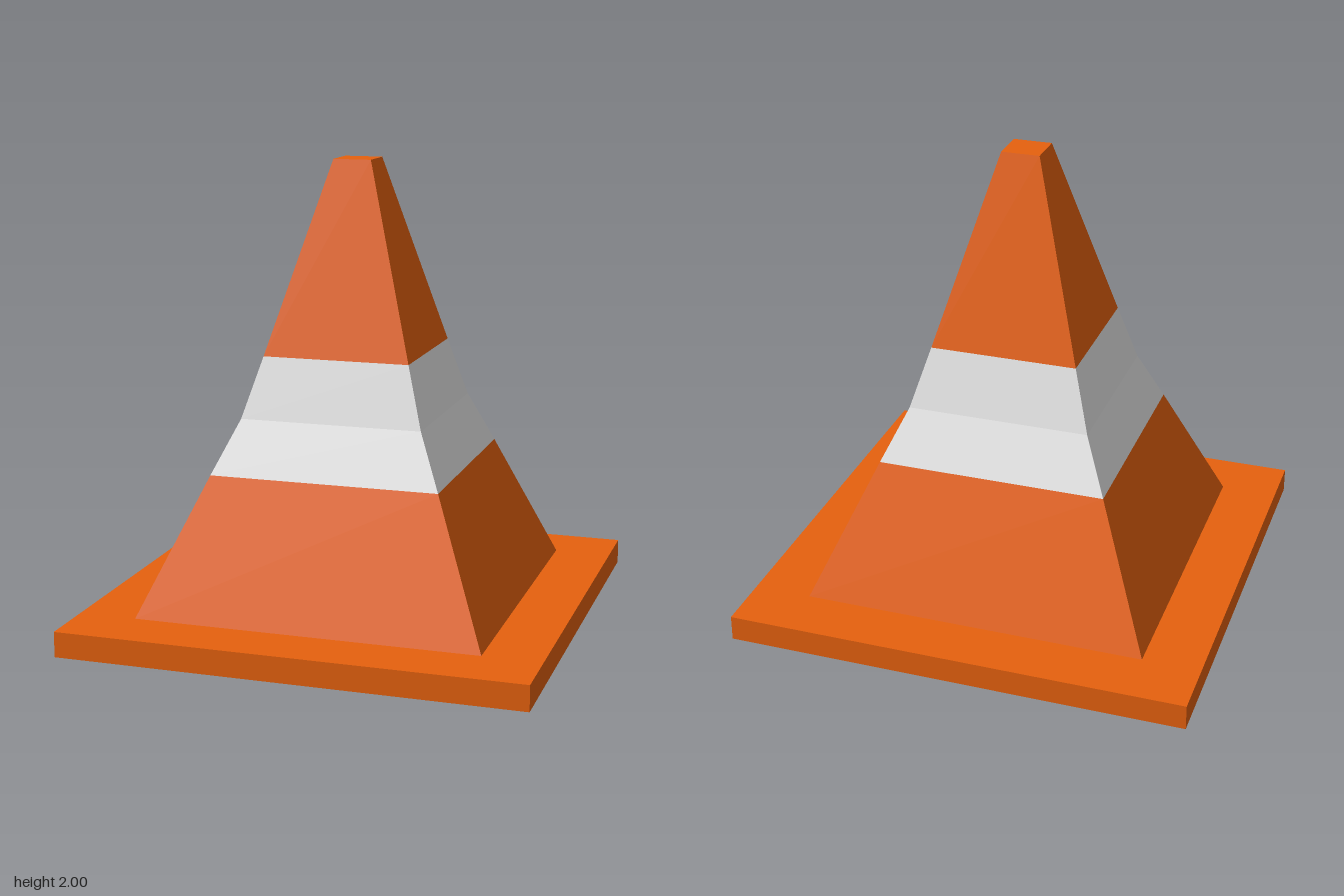
import * as THREE from 'three';

const orange = new THREE.MeshStandardMaterial({ name: 'orange', color: 0xe8620e });
const white = new THREE.MeshStandardMaterial({ name: 'white', color: 0xe8e8e8 });

// Square tapered section between two heights, given as half-widths
function frustum([r0, y0], [r1, y1], openEnded) {
  const indexed = new THREE.CylinderGeometry(r1 * Math.SQRT2, r0 * Math.SQRT2, y1 - y0, 4, 1, openEnded);
  const geo = indexed.toNonIndexed();
  geo.rotateY(Math.PI / 4);
  geo.translate(0, (y0 + y1) / 2, 0);
  geo.computeVertexNormals(); // flat faces
  return geo;
}

export function createModel() {
  const group = new THREE.Group();
  group.name = 'trafficCone';
  const add = (name, geometry, material) => {
    const mesh = new THREE.Mesh(geometry, material);
    mesh.name = name;
    group.add(mesh);
  };

  // Square base plate
  const base = new THREE.BoxGeometry(2, 0.11, 2);
  base.translate(0, 0.055, 0);
  add('basePlate', base, orange);

  // Cone body: [half-width, height] from bottom to top
  const profile = [[0.748, 0.11], [0.498, 0.69], [0.395, 0.92], [0.319, 1.18], [0.083, 2]];
  const sections = [
    ['lowerBody', orange], ['lowerStripe', white], ['upperStripe', white], ['upperBody', orange],
  ];
  sections.forEach(([name, material], i) => {
    const isTop = i === sections.length - 1; // only the tip is capped
    add(name, frustum(profile[i], profile[i + 1], !isTop), material);
  });
  return group;
}
